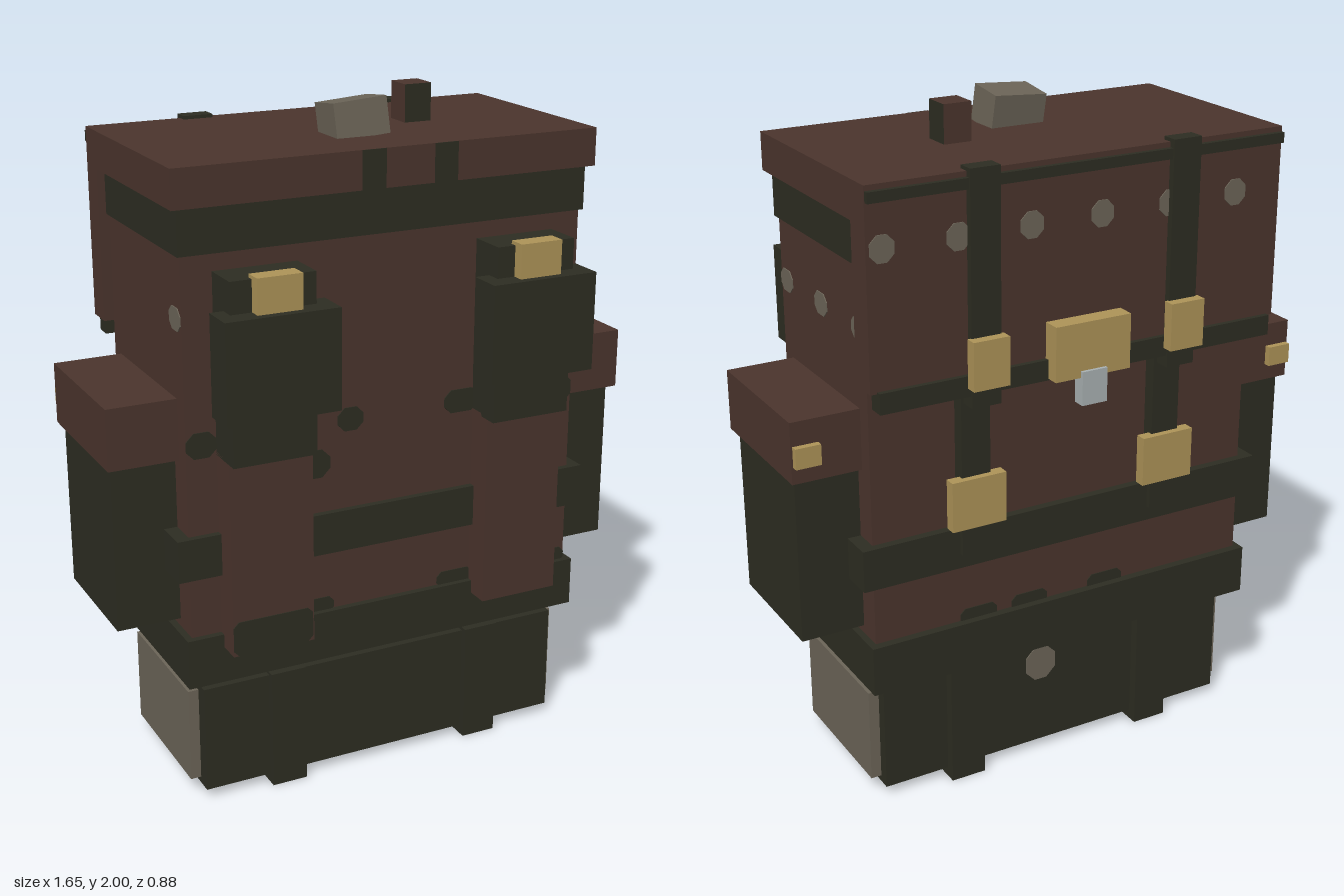
import * as THREE from 'three';

const mat = (name, color) => {
  const m = new THREE.MeshStandardMaterial({ color });
  m.name = name;
  return m;
};

export function createModel() {
  const brown = mat('brown leather', 0x4b352d);
  const dark = mat('dark canvas', 0x2d2d22);
  const gold = mat('brass', 0xae9458);
  const grey = mat('grey cloth', 0x6c6558);
  const silver = mat('steel', 0xaab2b3);

  const pack = new THREE.Group();
  pack.name = 'backpack';

  // Box given by its limits on each axis
  const box = (name, material, [x0, x1], [y0, y1], [z0, z1]) => {
    const m = new THREE.Mesh(new THREE.BoxGeometry(x1 - x0, y1 - y0, z1 - z0), material);
    m.position.set((x0 + x1) / 2, (y0 + y1) / 2, (z0 + z1) / 2);
    m.name = name;
    pack.add(m);
    return m;
  };
  // The same box on both sides of the pack
  const pair = (name, material, [x0, x1], y, z) => {
    box(name + 'Left', material, [x0, x1], y, z);
    box(name + 'Right', material, [-x1, -x0], y, z);
  };
  // Thin patch with clipped corners, turned to face front, back or a side
  const patch = (name, material, w, h, pos, turn = 0, cut = 0.3) => {
    const a = w / 2, b = h / 2, c = Math.min(w, h) * cut;
    const s = new THREE.Shape([
      [-a + c, -b], [a - c, -b], [a, -b + c], [a, b - c],
      [a - c, b], [-a + c, b], [-a, b - c], [-a, -b + c],
    ].map(([x, y]) => new THREE.Vector2(x, y)));
    const m = new THREE.Mesh(new THREE.ExtrudeGeometry(s, { depth: 0.003, bevelEnabled: false }), material);
    m.position.set(...pos);
    m.rotation.y = turn;
    m.name = name;
    pack.add(m);
  };

  // Main bag with its bands
  box('body', brown, [-0.62, 0.62], [0.5, 1.8], [-0.29, 0.265]);
  box('baseBand', dark, [-0.64, 0.64], [0.39, 0.54], [-0.315, 0.285]);
  box('belt', dark, [-0.66, 0.66], [0.725, 0.85], [-0.315, 0.285]);
  box('topBand', dark, [-0.63, 0.63], [1.65, 1.78], [-0.285, 0.275]);

  // Lid with the flap hanging down the back
  box('lid', brown, [-0.65, 0.65], [1.78, 1.89], [-0.375, 0.295]);
  box('backFlap', brown, [-0.65, 0.65], [1.33, 1.78], [-0.375, -0.29]);
  box('flapTopTrim', dark, [-0.648, 0.648], [1.845, 1.875], [-0.39, -0.37]);
  box('flapBottomTrim', dark, [-0.63, 0.63], [1.275, 1.335], [-0.39, -0.34]);

  // Back straps and buckles
  pair('upperBackStrap', dark, [0.27, 0.36], [1.24, 1.9], [-0.395, -0.345]);
  pair('lowerBackStrap', dark, [0.27, 0.36], [0.77, 1.33], [-0.33, -0.285]);
  pair('upperBuckle', gold, [0.26, 0.37], [1.3, 1.44], [-0.425, -0.39]);
  pair('lowerBuckle', gold, [0.23, 0.4], [0.86, 1.01], [-0.35, -0.315]);
  box('claspPlate', gold, [-0.12, 0.12], [1.28, 1.44], [-0.43, -0.365]);
  box('claspTongue', silver, [-0.04, 0.04], [1.2, 1.3], [-0.44, -0.4]);

  // Side pockets
  pair('pocket', dark, [0.6, 0.81], [0.565, 1.06], [-0.215, 0.18]);
  pair('pocketCap', brown, [0.6, 0.825], [1.06, 1.24], [-0.24, 0.21]);
  pair('pocketButton', gold, [0.745, 0.82], [1.11, 1.17], [-0.26, -0.235]);

  // Shoulder straps
  pair('lowerShoulderStrap', brown, [0.28, 0.53], [0.5, 1.09], [0.26, 0.355]);
  pair('upperShoulderStrap', dark, [0.28, 0.53], [1.08, 1.6], [0.26, 0.385]);
  pair('shoulderPad', dark, [0.235, 0.57], [1.22, 1.51], [0.34, 0.445]);
  pair('shoulderBuckle', gold, [0.335, 0.467], [1.51, 1.61], [0.365, 0.42]);

  // Bedroll under the bag
  box('bedroll', dark, [-0.585, 0.585], [0.03, 0.36], [-0.255, 0.255]);
  box('bedrollLining', grey, [-0.617, 0.617], [0.05, 0.34], [-0.22, 0.21]);
  pair('bedrollStrap', dark, [0.27, 0.38], [0, 0.37], [-0.285, 0.275]);

  // Tilted bundle and two-coloured block on the lid
  const bundle = box('lidBundle', grey, [-0.093, 0.073], [1.88, 1.985], [-0.003, 0.117]);
  bundle.rotation.set(-0.12, 0, 0.07);
  box('lidBlock', [dark, brown, brown, brown, dark, brown], [0.195, 0.28], [1.88, 2], [-0.1, -0.015]);

  // Worn patches on the front: centre x, centre y, width, height
  for (const [x, y, w, h] of [
    [-0.575, 1.115, 0.09, 0.075], [-0.12, 1.12, 0.08, 0.07], [0.24, 1.12, 0.11, 0.07],
    [0.575, 1.105, 0.09, 0.095], [-0.235, 1, 0.1, 0.085],
    [-0.23, 0.555, 0.11, 0.05], [0.23, 0.555, 0.12, 0.05], [0.575, 0.555, 0.09, 0.05],
  ]) patch('frontPatch', dark, w, h, [x, y, 0.265]);
  patch('strapPatch', dark, 0.245, 0.105, [-0.407, 0.553, 0.355], 0, 0.15);
  for (const x of [-0.063, 0.16]) patch('lidPatch', dark, 0.072, 0.11, [x, 1.835, 0.295], 0, 0);

  // Studs on the sides and the flap
  for (const z of [0.225, -0.01, -0.25]) patch('sideStud', grey, z ? 0.08 : 0.06, 0.065, [0.62, 1.47, z], Math.PI / 2);
  patch('sideStud', grey, 0.08, 0.065, [-0.62, 1.47, 0.22], -Math.PI / 2);
  for (let i = 0; i < 6; i++) patch('flapStud', grey, 0.07, 0.075, [0.605 - i * 0.22, 1.72, -0.375], Math.PI);

  // Worn patches on the back
  for (const x of [0.29, 0.12, -0.14]) patch('backPatch', dark, 0.12, 0.05, [x, 0.55, -0.29], Math.PI);
  patch('bedrollPatch', grey, 0.1, 0.11, [0.06, 0.3, -0.255], Math.PI);

  return pack;
}
